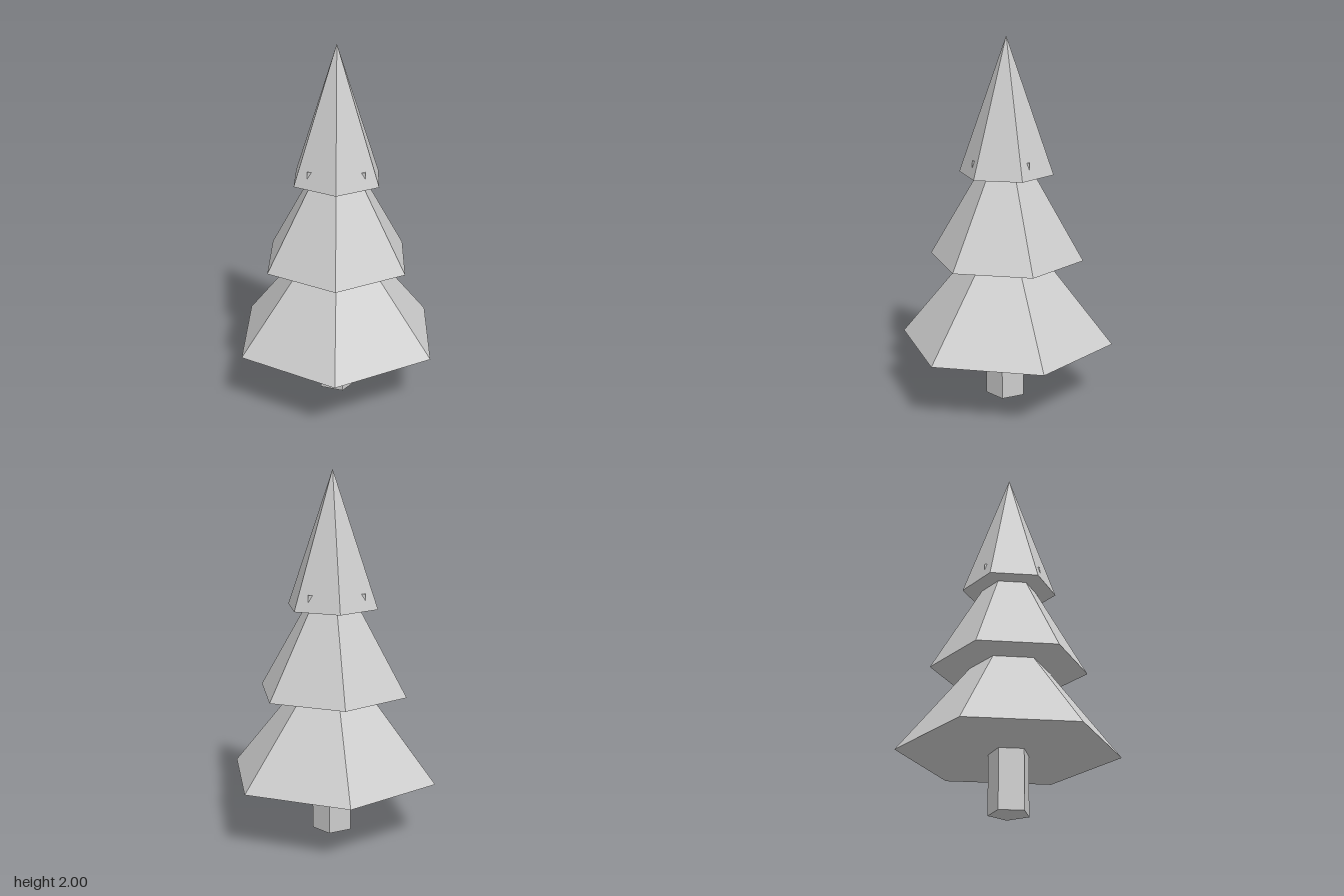
import * as THREE from 'three';

export function createModel() {
  const tree = new THREE.Group();
  tree.name = 'pineTree';
  const grey = new THREE.MeshStandardMaterial({ color: 0xcccccc, flatShading: true });
  grey.name = 'lightGrey';

  const add = (name, geometry, y) => {
    const mesh = new THREE.Mesh(geometry, grey);
    mesh.name = name;
    mesh.position.y = y;
    tree.add(mesh);
  };

  // five-sided trunk with one corner towards +x
  const trunkHeight = 0.36;
  add('trunk', new THREE.CylinderGeometry(0.113, 0.113, trunkHeight, 5, 1, false, Math.PI / 2), trunkHeight / 2);

  // three six-sided foliage cones, equal height, narrowing upwards
  const coneHeight = 0.735;
  [['lowerFoliage', 0.595, 0.325], ['middleFoliage', 0.427, 0.795], ['upperFoliage', 0.26, 1.265]]
    .forEach(([name, radius, base]) =>
      add(name, new THREE.ConeGeometry(radius, coneHeight, 6), base + coneHeight / 2));

  // block inside the upper foliage whose corners just poke through
  add('innerBlock', new THREE.BoxGeometry(0.306, 0.085, 0.306), 1.3125);

  return tree;
}
